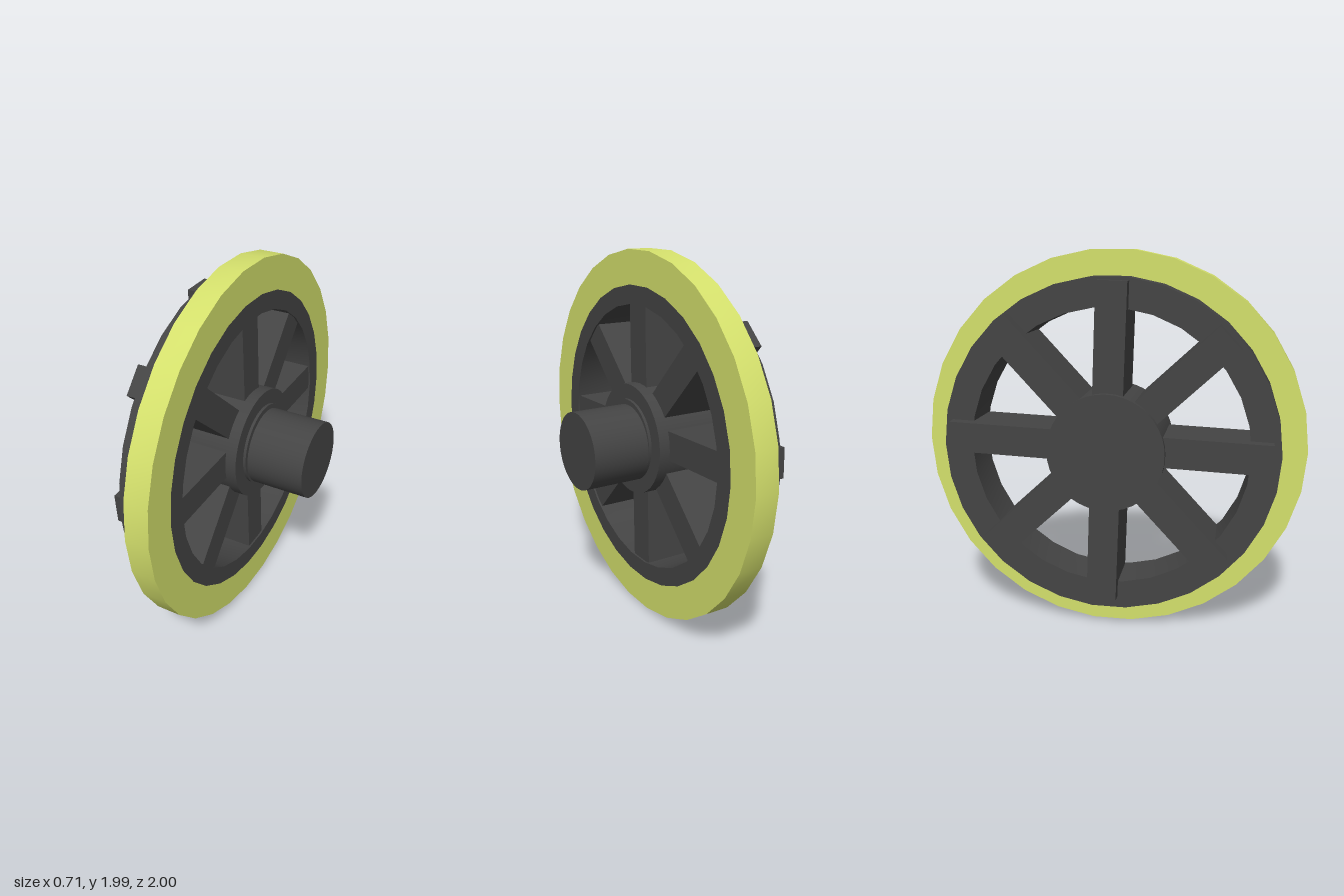
import * as THREE from 'three';
import { toCreasedNormals } from 'three/addons/utils/BufferGeometryUtils.js';

const AXIS_Y = 0.995;
const dark = new THREE.MeshStandardMaterial({ color: 0x444444 });
const yellow = new THREE.MeshStandardMaterial({ color: 0xd4e06c });

export function createModel() {
  const group = new THREE.Group();

  const add = (name, geometry, material, y = AXIS_Y, z = 0) => {
    const mesh = new THREE.Mesh(geometry, material);
    mesh.name = name;
    mesh.position.set(0, y, z);
    group.add(mesh);
    return mesh;
  };

  // Ring turned about the x axis from a closed [radius, x] profile
  const ring = (profile) => {
    const pts = [...profile, profile[0]].map(([r, x]) => new THREE.Vector2(r, x));
    const geo = new THREE.LatheGeometry(pts, 30).rotateZ(-Math.PI / 2);
    return toCreasedNormals(geo, 0.6);
  };

  // Solid disc or shaft along x between two positions
  const disc = (r, x0, x1) =>
    new THREE.CylinderGeometry(r, r, x1 - x0, 40)
      .rotateZ(-Math.PI / 2)
      .translate((x0 + x1) / 2, 0, 0);

  // Coloured outer flange
  add('flange', ring([[1, -0.15], [1, -0.02], [0.82, -0.02], [0.82, -0.15]]), yellow);

  // Dark rim, stepped where it sits inside the flange
  add('rim', ring([
    [0.72, -0.27], [0.87, -0.27], [0.87, -0.15], [0.82, -0.15], [0.82, -0.02], [0.72, -0.02],
  ]), dark);

  // Eight spokes made of four beams through the hub, proud of the rim at the back
  const beam = new THREE.BoxGeometry(0.3, 1.65, 0.155).translate(-0.18, 0, 0);
  for (let i = 0; i < 4; i++) {
    add(`spokePair${i + 1}`, beam, dark, 1.02).rotation.x = 0.035 + (i * Math.PI) / 4;
  }

  // Hub, collar and axle stub
  add('hub', disc(0.3, -0.36, 0.03), dark, 1);
  add('collar', disc(0.22, 0, 0.045), dark, 1);
  add('axle', disc(0.207, 0, 0.355), dark, 0.985, -0.007);

  return group;
}
